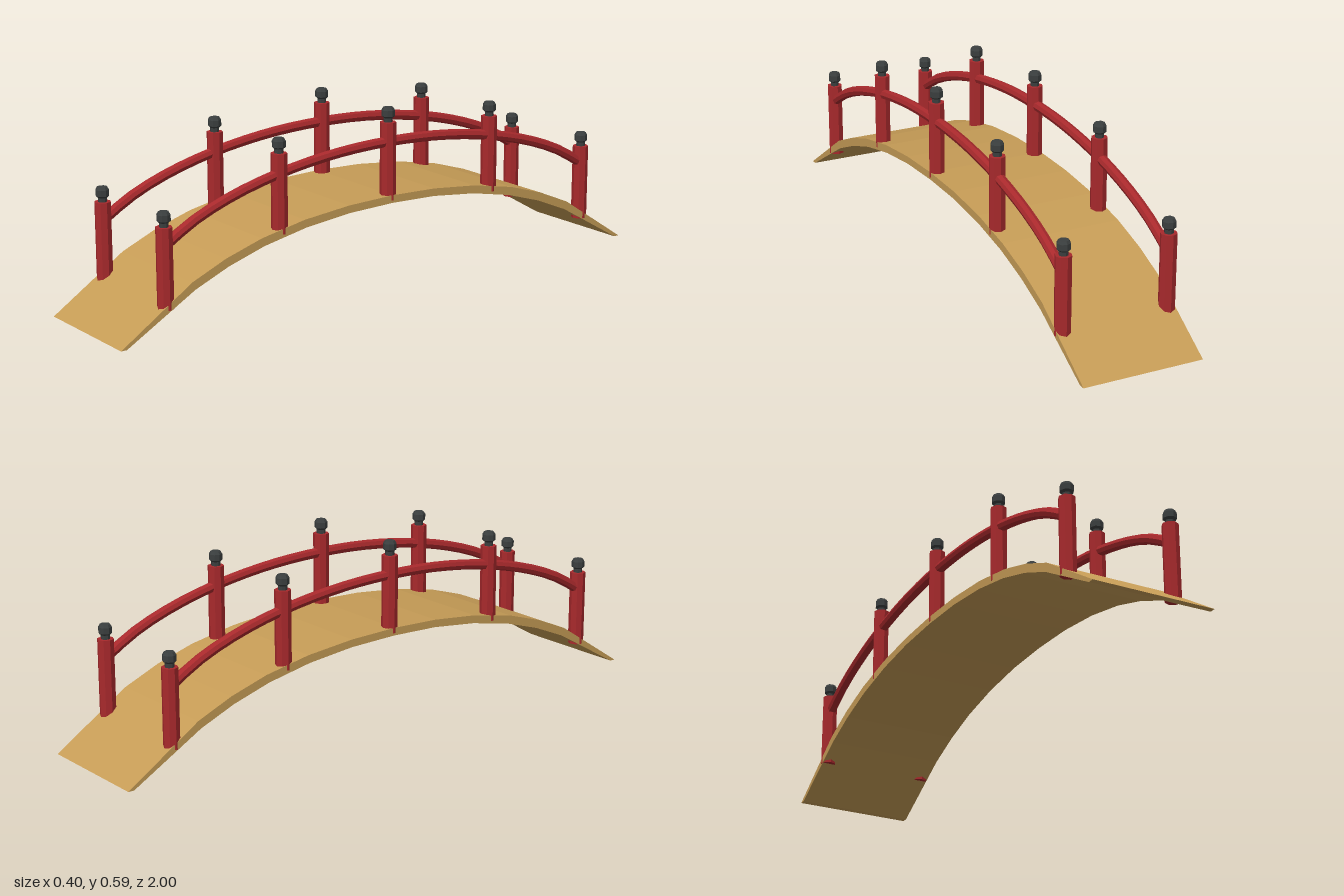
import * as THREE from 'three';

const wood = new THREE.MeshStandardMaterial({ color: 0xc69c56 });
wood.name = 'plank wood';
const red = new THREE.MeshStandardMaterial({ color: 0xa8292c });
red.name = 'red lacquer';
const dark = new THREE.MeshStandardMaterial({ color: 0x3b3f3f });
dark.name = 'dark metal';
for (const m of [wood, red, dark]) m.flatShading = true;

const WIDTH = 0.4, RAIL_X = 0.176, SIDES = 8;

// half profiles as [z, y], from the foot to the crown
const deckTop = [[1, 0], [0.75, 0.163], [0.63, 0.214], [0.5, 0.254], [0.34, 0.285], [0.17, 0.302], [0, 0.307]];
const deckUnder = [[0.98, 0], [0.74, 0.138], [0.62, 0.188], [0.49, 0.228], [0.335, 0.259], [0.17, 0.277], [0, 0.282]];
const railLine = [[0.83, 0.283], [0.73, 0.341], [0.6, 0.392], [0.42, 0.438], [0.21, 0.468], [0, 0.477]];
// posts as [z, base height]
const posts = [[0.83, 0.091], [0.418, 0.252], [0, 0.29], [-0.418, 0.252], [-0.83, 0.091]];
const POST_HEIGHT = 0.251;

// mirrors a half profile across z = 0
function mirrored(half) {
  const other = half.slice(0, -1).reverse().map(([z, y]) => [-z, y]);
  return [...half, ...other];
}

function addMesh(parent, name, geometry, material) {
  const mesh = new THREE.Mesh(geometry, material);
  mesh.name = name;
  parent.add(mesh);
  return mesh;
}

// arched walkway
function deckGeometry() {
  const outline = [...mirrored(deckTop), ...mirrored(deckUnder).reverse()];
  const shape = new THREE.Shape(outline.map(([z, y]) => new THREE.Vector2(z, y)));
  const geometry = new THREE.ExtrudeGeometry(shape, { depth: WIDTH, bevelEnabled: false });
  geometry.translate(0, 0, -WIDTH / 2);
  return geometry.rotateY(-Math.PI / 2);
}

export function createModel() {
  const bridge = new THREE.Group();
  bridge.name = 'archedBridge';
  addMesh(bridge, 'deck', deckGeometry(), wood);

  const postGeometry = new THREE.CylinderGeometry(0.026, 0.026, POST_HEIGHT, SIDES);
  postGeometry.translate(0, POST_HEIGHT / 2, 0);

  // post cap: narrow neck under a bulb
  const capProfile = [[0.0145, 0], [0.0145, 0.013], [0.0215, 0.019], [0.0215, 0.038], [0.016, 0.047], [0, 0.047]];
  const capGeometry = new THREE.LatheGeometry(capProfile.map(([r, y]) => new THREE.Vector2(r, y)), SIDES);

  // handrail swept along the arch
  const railCurve = new THREE.CatmullRomCurve3(mirrored(railLine).map(([z, y]) => new THREE.Vector3(0, y, z)));
  const railGeometry = new THREE.TubeGeometry(railCurve, 28, 0.017, SIDES);

  for (const [side, sign] of [['left', 1], ['right', -1]]) {
    const railing = new THREE.Group();
    railing.name = side + 'Railing';
    railing.position.x = sign * RAIL_X;
    addMesh(railing, 'handrail', railGeometry, red);
    for (const [z, base] of posts) {
      addMesh(railing, 'post', postGeometry, red).position.set(0, base, z);
      addMesh(railing, 'postCap', capGeometry, dark).position.set(0, base + POST_HEIGHT, z);
    }
    bridge.add(railing);
  }
  return bridge;
}
